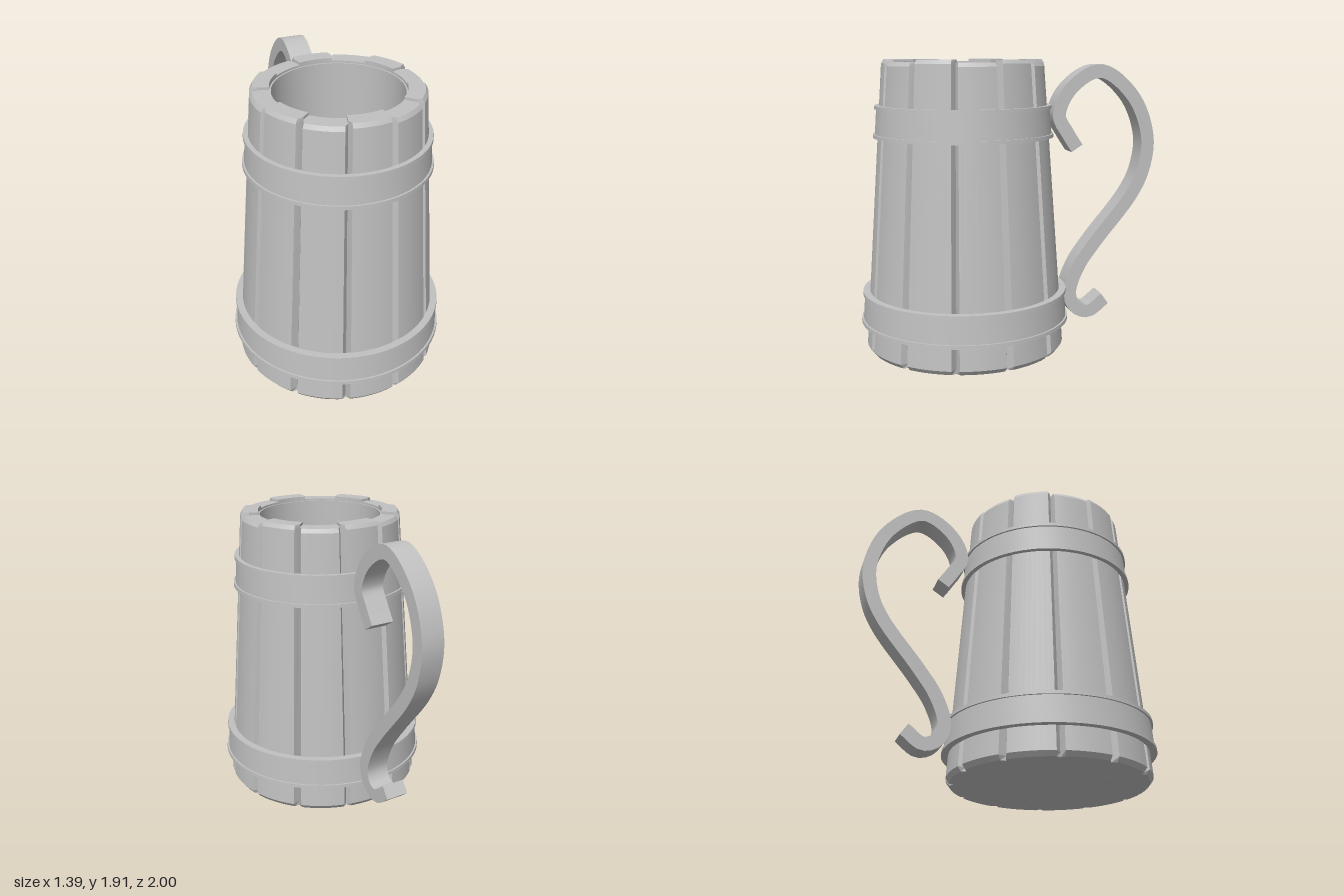
import * as THREE from 'three';
import { toCreasedNormals } from 'three/addons/utils/BufferGeometryUtils.js';

const STAVES = 12;
const STEP = (Math.PI * 2) / STAVES;
const INNER = 0.41;

// outer radius of the tapered body at height y
const bodyRadius = (y) => 0.665 - 0.073 * y;

// one wedge-shaped plank, chamfered so neighbours form a V groove
function staveGeometry(top) {
  const half = STEP / 2, chamfer = 0.039, segments = 8;
  const angles = [-half];
  for (let i = 0; i <= segments; i++) {
    angles.push((half - chamfer) * (2 * i / segments - 1));
  }
  angles.push(half);
  const n = angles.length;

  const point = (a, r, y) => [r * Math.sin(a), y, r * Math.cos(a)];
  const section = (y, inset) => {
    const outer = angles.map((a, i) =>
      point(a, i === 0 || i === n - 1 ? bodyRadius(y) - 0.05 : bodyRadius(y) - inset, y));
    const inner = angles.map((a) => point(a, INNER, y));
    return { outer, inner, loop: [...outer, ...inner.slice().reverse()] };
  };
  const levels = [section(0, 0.025), section(0.03, 0), section(top - 0.025, 0), section(top, 0.014)];

  const positions = [];
  const quad = (a, b, c, d) => positions.push(...a, ...b, ...c, ...a, ...c, ...d);
  for (let l = 0; l < levels.length - 1; l++) {
    const lo = levels[l].loop, hi = levels[l + 1].loop;
    lo.forEach((p, i) => {
      const j = (i + 1) % lo.length;
      quad(p, lo[j], hi[j], hi[i]);
    });
  }
  const base = levels[0], cap = levels[levels.length - 1];
  for (let i = 0; i < n - 1; i++) {
    quad(cap.outer[i], cap.outer[i + 1], cap.inner[i + 1], cap.inner[i]);
    quad(base.inner[i], base.inner[i + 1], base.outer[i + 1], base.outer[i]);
  }
  const geometry = new THREE.BufferGeometry();
  geometry.setAttribute('position', new THREE.Float32BufferAttribute(positions, 3));
  return toCreasedNormals(geometry, 0.3);
}

function lathe(points) {
  const profile = points.map(([r, y]) => new THREE.Vector2(r, y));
  return toCreasedNormals(new THREE.LatheGeometry(profile, 72), 0.3);
}

// tapered band with a raised lip along both edges
function hoopGeometry(y0, y1, lip) {
  const h = 0.023, mid = lip - 0.012;
  const at = (y, extra) => [bodyRadius(y) + extra, y];
  return lathe([
    at(y0, -0.002), at(y0, lip), at(y0 + h, lip), at(y0 + h, mid),
    at(y1 - h, mid), at(y1 - h, lip), at(y1, lip), at(y1, -0.002), at(y0, -0.002),
  ]);
}

// flat S-curved strip with hooked ends, path given as (distance back, height)
function handleGeometry() {
  const path = new THREE.CatmullRomCurve3([
    [0.453, 1.32], [0.385, 1.425], [0.327, 1.54], [0.41, 1.72], [0.614, 1.832],
    [0.845, 1.66], [0.952, 1.39], [0.93, 1.17], [0.85, 0.997], [0.592, 0.67],
    [0.48, 0.51], [0.418, 0.35], [0.422, 0.275], [0.468, 0.205], [0.55, 0.18], [0.668, 0.263],
  ].map(([u, y]) => new THREE.Vector3(u, y, 0)));
  const left = [], right = [], steps = 90, halfThickness = 0.045;
  for (let i = 0; i <= steps; i++) {
    const p = path.getPointAt(i / steps), t = path.getTangentAt(i / steps);
    const dx = -t.y * halfThickness, dy = t.x * halfThickness;
    left.push(new THREE.Vector2(p.x + dx, p.y + dy));
    right.push(new THREE.Vector2(p.x - dx, p.y - dy));
  }
  const shape = new THREE.Shape([...left, ...right.reverse()]);
  const geometry = new THREE.ExtrudeGeometry(shape, { depth: 0.156, bevelEnabled: false });
  geometry.rotateY(Math.PI / 2).translate(-0.058, 0, 0);
  return toCreasedNormals(geometry, 0.6);
}

export function createModel() {
  const grey = new THREE.MeshStandardMaterial({ color: 0xc0c0c0 });
  grey.name = 'grey';

  const model = new THREE.Group();
  model.name = 'tankard';
  const add = (parent, name, geometry) => {
    const mesh = new THREE.Mesh(geometry, grey);
    mesh.name = name;
    parent.add(mesh);
    return mesh;
  };

  const body = new THREE.Group();
  body.name = 'body';
  body.position.z = 0.3;
  model.add(body);

  // ring of staves with alternating heights
  const heights = [staveGeometry(1.91), staveGeometry(1.893)];
  for (let i = 0; i < STAVES; i++) {
    add(body, 'stave', heights[i % 2]).rotation.y = i * STEP;
  }

  // inner wall, floor and underside
  add(body, 'liner', lathe([
    [0, 0], [INNER, 0], [INNER, 1.88], [0.4, 1.88], [0.4, 0.12], [0, 0.12],
  ]));

  add(body, 'lowerHoop', hoopGeometry(0.185, 0.39, 0.046));
  add(body, 'upperHoop', hoopGeometry(1.41, 1.617, 0.03));
  add(model, 'handle', handleGeometry());
  return model;
}
